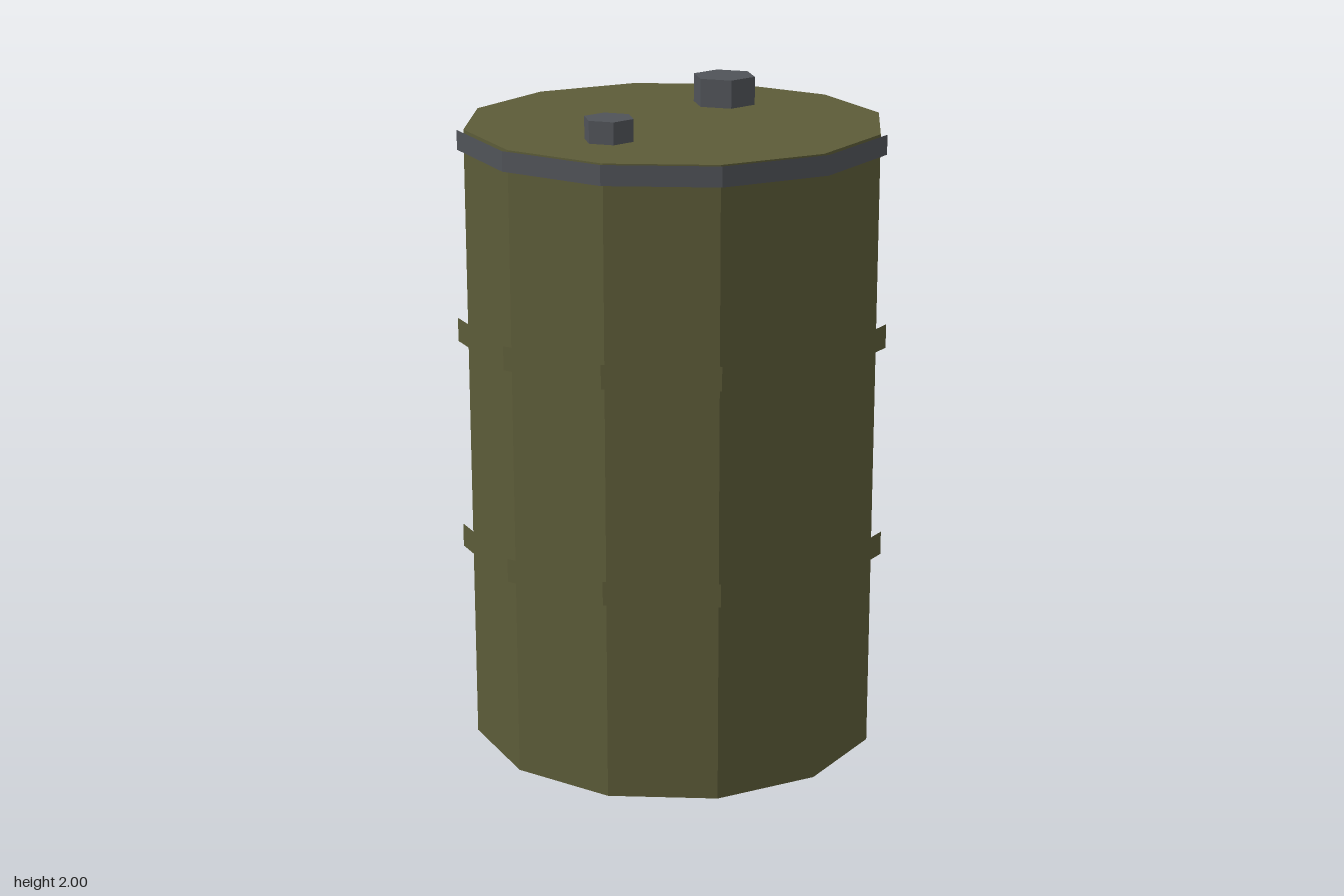
import * as THREE from 'three';

export function createModel() {
  const group = new THREE.Group();
  group.name = 'barrel';

  const flat = (name, color) => {
    const m = new THREE.MeshStandardMaterial({ color });
    m.name = name;
    m.flatShading = true;
    return m;
  };
  const olive = flat('olive paint', 0x5c5b38);
  const steel = flat('dark steel', 0x505358);
  const yellow = flat('yellow label', 0xc9a832);

  const add = (name, geometry, material, x, y, z) => {
    const mesh = new THREE.Mesh(geometry, material);
    mesh.name = name;
    mesh.position.set(x, y, z);
    group.add(mesh);
    return mesh;
  };

  const cx = -0.005; // the side label shifts the drum slightly off centre
  const top = 1.914;

  // Twelve-sided drum
  add('body', new THREE.CylinderGeometry(0.63, 0.63, top, 12), olive, cx, top / 2, 0);

  // Open bands around the drum
  const band = (name, radius, y0, y1, material) =>
    add(name, new THREE.CylinderGeometry(radius, radius, y1 - y0, 12, 1, true), material, cx, (y0 + y1) / 2, 0);
  band('lowerRib', 0.66, 0.62, 0.692, olive);
  band('upperRib', 0.66, 1.273, 1.345, olive);
  band('rim', 0.65, 1.855, top, steel);

  // Hexagonal plugs on the lid
  const plug = (name, radius, y1, x, z) => {
    const h = y1 - top + 0.02;
    add(name, new THREE.CylinderGeometry(radius, radius, h, 6), steel, x, y1 - h / 2, z).rotation.y = Math.PI / 6;
  };
  plug('largePlug', 0.098, 2.0, 0.298, -0.11);
  plug('smallPlug', 0.075, 1.98, -0.332, 0.085);

  // Label plate on the side
  add('labelPlate', new THREE.BoxGeometry(0.065, 0.26, 0.345), yellow, 0.631, 0.98, 0);

  return group;
}
